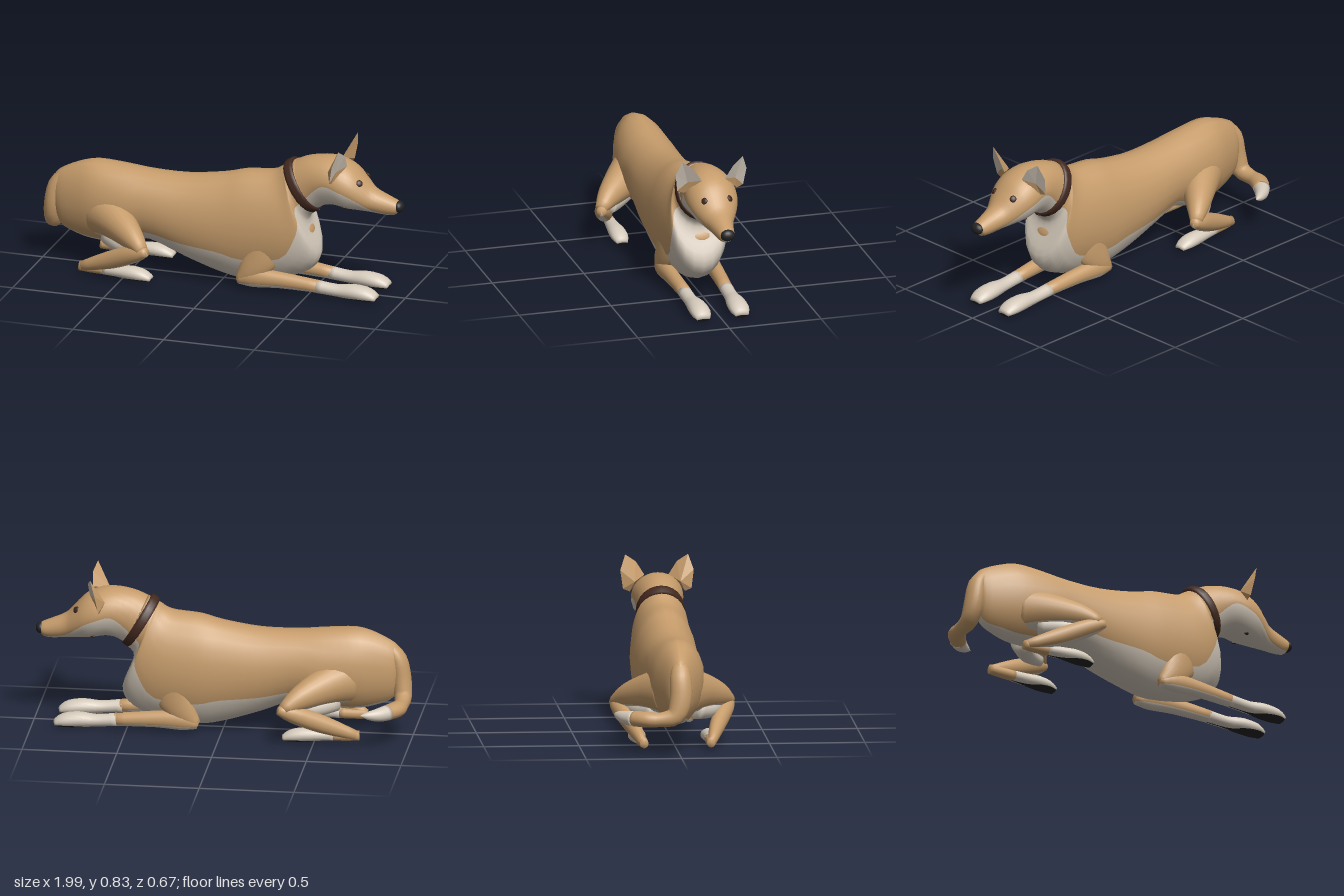
import * as THREE from 'three';

const mat = (name, color) => {
  const m = new THREE.MeshStandardMaterial({ color });
  m.name = name;
  return m;
};

// Catmull-Rom interpolation of whole rows of numbers
function refine(rows, steps) {
  const out = [];
  const at = i => rows[Math.min(Math.max(i, 0), rows.length - 1)];
  for (let i = 0; i < rows.length - 1; i++) {
    for (let s = 0; s < steps; s++) {
      const t = s / steps;
      out.push(at(i).map((b, k) => {
        const a = at(i - 1)[k], c = at(i + 1)[k], d = at(i + 2)[k];
        return b + 0.5 * t * (c - a + t * (2 * a - 5 * b + 4 * c - d + t * (3 * (b - c) + d - a)));
      }));
    }
  }
  out.push(rows[rows.length - 1]);
  return out;
}

// Skin over rings { c: centre, u: half height, v: half width, a: share of underside colour }
const HALF = 12, UNDER = 4, SEG = HALF * 2;
function skin(name, rings, topMat, underMat = topMat) {
  const pos = [], top = [], under = [];
  const p = new THREE.Vector3();
  for (const { c, u, v, a } of rings) {
    for (let j = 0; j < SEG; j++) {
      const m = j <= HALF ? j : SEG - j;
      const half = m <= UNDER ? a * m / UNDER : a + (1 - a) * (m - UNDER) / (HALF - UNDER);
      const th = Math.PI * half * (j <= HALF ? 1 : -1);
      p.copy(c).addScaledVector(u, -Math.cos(th)).addScaledVector(v, Math.sin(th));
      pos.push(p.x, p.y, p.z);
    }
  }
  const last = rings.length - 1, n = rings.length * SEG;
  pos.push(...rings[0].c.toArray(), ...rings[last].c.toArray());
  for (let j = 0; j < SEG; j++) {
    const k = (j + 1) % SEG;
    const list = j < UNDER || j >= SEG - UNDER ? under : top;
    for (let i = 0; i < last; i++) {
      const a = i * SEG + j, b = i * SEG + k;
      list.push(a, a + SEG, b, b, a + SEG, b + SEG);
    }
    list.push(n, j, k, n + 1, last * SEG + k, last * SEG + j);
  }
  const g = new THREE.BufferGeometry();
  g.setAttribute('position', new THREE.Float32BufferAttribute(pos, 3));
  g.setIndex([...top, ...under]);
  g.addGroup(0, top.length, 0);
  g.addGroup(top.length, under.length, 1);
  g.computeVertexNormals();
  const mesh = new THREE.Mesh(g, [topMat, underMat]);
  mesh.name = name;
  return mesh;
}

// Rows: top x, top y, bottom x, bottom y, half width, underside share
function trunk(name, rows, topMat, underMat) {
  const rings = refine(rows, 3).map(([tx, ty, bx, by, w, a]) => ({
    c: new THREE.Vector3((tx + bx) / 2, (ty + by) / 2, 0),
    u: new THREE.Vector3((tx - bx) / 2, (ty - by) / 2, 0),
    v: new THREE.Vector3(0, 0, w), a,
  }));
  return skin(name, rings, topMat, underMat);
}

// Rows: x, y, z, half height, half width, underside share; s mirrors across z
function limb(name, rows, s, topMat, underMat, ref = new THREE.Vector3(0, 1, 0)) {
  const pts = refine(rows, 3);
  const c = pts.map(q => new THREE.Vector3(q[0], q[1], q[2] * s));
  const rings = pts.map((q, i) => {
    const t = c[Math.min(i + 1, c.length - 1)].clone().sub(c[Math.max(i - 1, 0)]).normalize();
    const v = t.clone().cross(ref).normalize();
    const u = v.clone().cross(t);
    return { c: c[i], u: u.multiplyScalar(q[3]), v: v.multiplyScalar(q[4]), a: q[5] ?? 0.33 };
  });
  return skin(name, rings, topMat, underMat);
}

// Flattened ball whose thin side looks along a direction
function blob(name, material, at, size, facing) {
  const m = new THREE.Mesh(new THREE.SphereGeometry(1, 16, 12), material);
  m.name = name;
  m.position.set(...at);
  m.scale.set(...size);
  m.lookAt(new THREE.Vector3(...facing).add(m.position));
  return m;
}

// Cupped ear: an outline with a hollow front and a bulging back
function ear(s, tan, cream) {
  const rim = [[.685, .835, .165], [.658, .755, .193], [.64, .66, .18], [.64, .645, .145], [.7, .725, .063], [.703, .795, .108]];
  const front = [.662, .71, .13], back = [.612, .7, .12];
  const inner = [], outer = [];
  rim.forEach((p, i) => {
    const q = rim[(i + 1) % rim.length];
    const [a, b] = s > 0 ? [p, q] : [q, p];
    (i === 2 || i === 3 ? outer : inner).push(front, a, b);
    outer.push(back, b, a);
  });
  const g = new THREE.BufferGeometry();
  const pos = [...inner, ...outer].flatMap(([x, y, z]) => [x, y, z * s]);
  g.setAttribute('position', new THREE.Float32BufferAttribute(pos, 3));
  g.addGroup(0, inner.length, 0);
  g.addGroup(inner.length, outer.length, 1);
  g.computeVertexNormals();
  const m = new THREE.Mesh(g, [cream, tan]);
  m.name = s > 0 ? 'earNear' : 'earFar';
  return m;
}

export function createModel() {
  const dog = new THREE.Group();
  dog.name = 'lyingDog';
  const tan = mat('tan fur', 0xc69c6b), cream = mat('cream fur', 0xd5cabb);
  const black = mat('black nose and pads', 0x232323), brown = mat('brown collar', 0x43291f);
  const eyeBrown = mat('dark brown eye', 0x3d271c);

  // Rump, belly, chest and neck
  dog.add(trunk('body', [
    [-.935, .47, -.925, .32, .03, .1],
    [-.9, .51, -.9, .21, .065, .1],
    [-.8, .56, -.8, .16, .105, .15],
    [-.7, .585, -.68, .14, .138, .15],
    [-.55, .575, -.52, .15, .155, .18],
    [-.4, .56, -.4, .18, .155, .28],
    [-.2, .56, -.2, .105, .165, .33],
    [0, .59, 0, .04, .172, .36],
    [.12, .622, .15, .02, .175, .33],
    [.25, .635, .38, .06, .17, .32],
    [.3, .65, .5, .125, .16, .4],
    [.33, .67, .533, .21, .152, .43],
    [.345, .677, .485, .33, .14, .42],
    [.36, .687, .475, .4, .125, .38],
    [.4, .71, .53, .445, .116, .35],
  ], tan, cream));

  // Head and muzzle
  dog.add(trunk('head', [
    [.36, .685, .5, .435, .114, .35],
    [.45, .73, .56, .475, .12, .42],
    [.55, .75, .62, .487, .132, .5],
    [.64, .745, .69, .475, .137, .47],
    [.72, .71, .74, .472, .123, .43],
    [.78, .65, .79, .468, .095, .37],
    [.83, .598, .835, .464, .07, .3],
    [.9, .566, .9, .458, .053, .25],
    [.955, .543, .945, .463, .042, .22],
    [.972, .53, .962, .48, .03, .2],
  ], tan, cream));
  dog.add(blob('nose', black, [.965, .509, 0], [.038, .031, .027], [1, .1, 0]));

  // Collar band
  const lean = new THREE.Vector3(.857, .514, 0);
  const band = [[-.026, .98], [-.025, 1.07], [-.012, 1.1], [.012, 1.1], [.025, 1.07], [.026, .98]];
  dog.add(skin('collar', band.map(([d, k]) => ({
    c: new THREE.Vector3(.436, .57, 0).addScaledVector(lean, d),
    u: new THREE.Vector3(-.073, .122, 0).multiplyScalar(k),
    v: new THREE.Vector3(0, 0, .117 * k), a: .33,
  })), brown));

  // Tan spot on the chest
  dog.add(blob('chestSpot', tan, [.476, .331, -.004], [.055, .034, .012], [.92, .38, 0]));

  for (const s of [1, -1]) {
    const side = s > 0 ? 'Near' : 'Far';
    dog.add(ear(s, tan, cream));
    dog.add(blob('eye' + side, eyeBrown, [.77, .638, .07 * s], [.018, .018, .008], [.55, .5, .66 * s]));
    dog.add(blob('mouthCorner' + side, eyeBrown, [.682, .493, .068 * s], [.014, .008, .006], [.1, -.75, .6 * s]));

    // Front leg
    dog.add(limb('upperArm' + side, [
      [.33, .36, .09, .08, .035], [.27, .23, .118, .1, .04], [.19, .11, .127, .07, .04], [.125, .05, .125, .026, .025],
    ], s, tan));
    dog.add(limb('forearm' + side, [
      [.12, .05, .125, .025, .025], [.2, .07, .128, .052, .04], [.35, .07, .122, .044, .038], [.56, .055, .112, .034, .035],
    ], s, tan, cream));
    dog.add(limb('frontPaw' + side, [
      [.55, .055, .113, .035, .036, .03], [.66, .045, .11, .033, .037, .06], [.75, .045, .106, .041, .05, .26],
      [.83, .037, .105, .036, .052, .34], [.877, .022, .105, .018, .036, .38],
    ], s, cream, black));

    // Hind leg
    dog.add(limb('thigh' + side, [
      [-.68, .31, .03, .13, .1, .2], [-.56, .295, .115, .105, .095, .25],
      [-.43, .255, .235, .067, .062, .28], [-.35, .215, .303, .028, .032, .25],
    ], s, tan, cream));
    dog.add(limb('innerThigh' + side, [
      [-.6, .2, .1, .05, .05], [-.5, .19, .185, .048, .045], [-.4, .2, .24, .035, .03],
    ], s, cream));
    dog.add(limb('shin' + side, [
      [-.325, .21, .308, .022, .022, .1], [-.4, .183, .28, .046, .042, .16],
      [-.55, .115, .225, .048, .042, .16], [-.72, .048, .182, .026, .022, .1],
    ], s, tan, cream));
    dog.add(limb('hock' + side, [
      [-.738, .045, .176, .026, .022], [-.68, .043, .178, .028, .026], [-.59, .043, .182, .029, .03],
    ], s, tan));
    dog.add(limb('hindPaw' + side, [
      [-.6, .043, .182, .029, .03, .03], [-.52, .044, .188, .032, .036, .1], [-.44, .042, .19, .037, .045, .28],
      [-.38, .034, .19, .031, .044, .34], [-.338, .02, .19, .016, .03, .38],
    ], s, cream, black));
  }

  // Tail curling to one side, with a cream tip
  const ref = new THREE.Vector3(1, 0, 0);
  dog.add(limb('tail', [
    [-.87, .49, 0, .03, .035], [-.92, .42, 0, .045, .055], [-.94, .31, 0, .05, .058], [-.95, .22, -.03, .046, .05],
    [-.95, .2, -.11, .038, .038], [-.935, .2, -.18, .048, .042], [-.885, .2, -.25, .042, .04],
  ], 1, tan, tan, ref));
  dog.add(limb('tailTip', [
    [-.895, .2, -.24, .043, .041], [-.85, .2, -.285, .035, .035], [-.8, .205, -.318, .021, .021], [-.765, .208, -.333, .003, .003],
  ], 1, cream, cream, ref));

  return dog;
}
